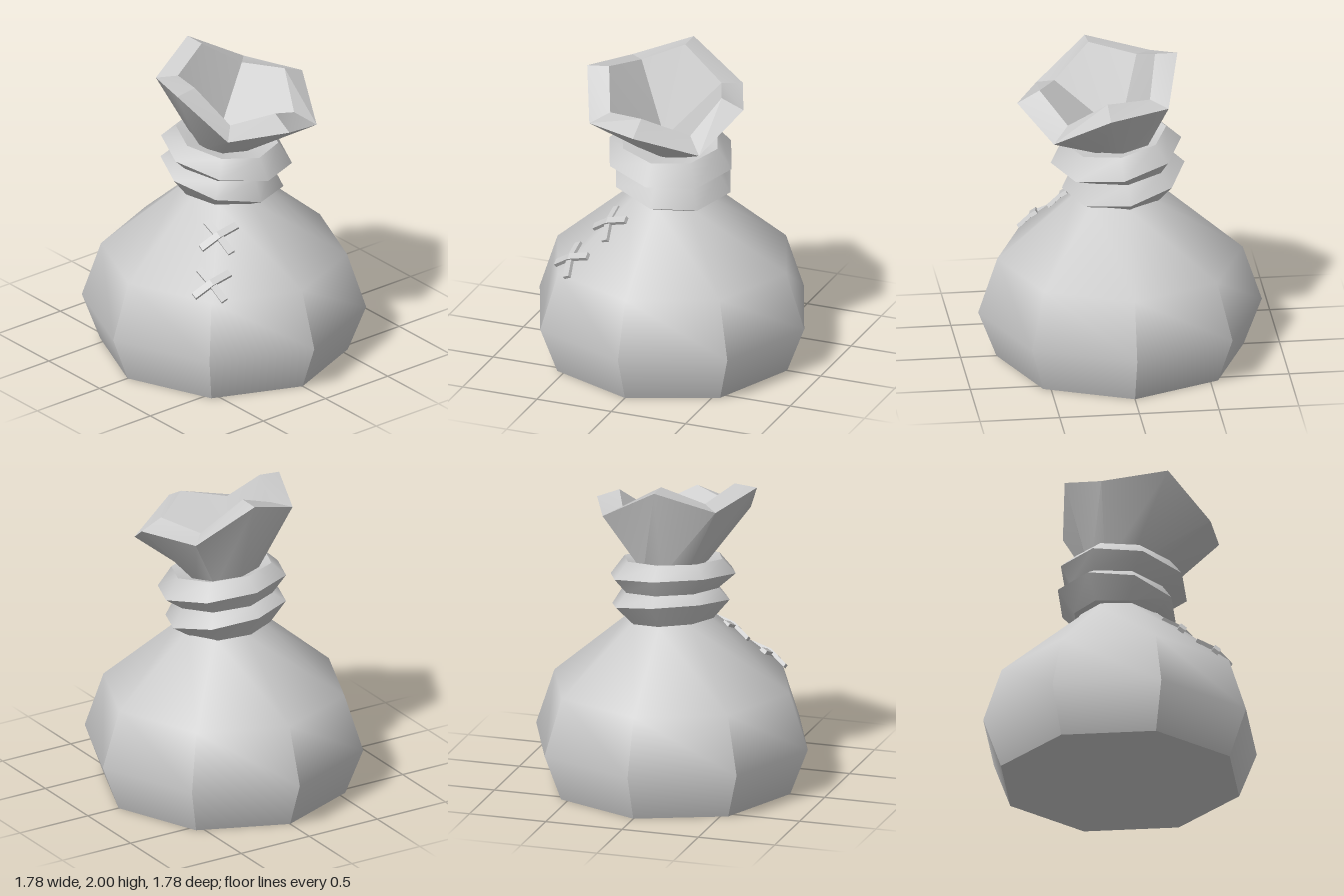
import * as THREE from 'three';
import { toCreasedNormals } from 'three/addons/utils/BufferGeometryUtils.js';

const SIDES = 8;
const STEP = (Math.PI * 2) / SIDES;
const material = new THREE.MeshStandardMaterial({ color: 0xcccccc });

function addMesh(parent, name, geometry) {
  const mesh = new THREE.Mesh(geometry, material);
  mesh.name = name;
  parent.add(mesh);
  return mesh;
}

// Eight points around a tilted circle; sx and sz are the slopes of its plane.
function ring(cx, cy, cz, r, sx = 0, sz = 0) {
  return Array.from({ length: SIDES }, (_, i) => {
    const dx = r * Math.sin(i * STEP), dz = r * Math.cos(i * STEP);
    return [cx + dx, cy + sx * dx + sz * dz, cz + dz];
  });
}

// Skin a stack of rings, keeping edges sharper than the crease angle.
function loft(rings, crease) {
  const pos = [];
  for (let k = 0; k < rings.length - 1; k++) {
    const a = rings[k], b = rings[k + 1];
    for (let i = 0; i < SIDES; i++) {
      const j = (i + 1) % SIDES;
      pos.push(...a[i], ...a[j], ...b[j]);
      if (b[i] !== b[j]) pos.push(...a[i], ...b[j], ...b[i]);
    }
  }
  const geometry = new THREE.BufferGeometry();
  geometry.setAttribute('position', new THREE.Float32BufferAttribute(pos, 3));
  return toCreasedNormals(geometry, crease);
}

// Sack body: smooth shoulders that run into facets near the base.
function sackGeometry() {
  const profile = [[0.775, 0], [0.89, 0.3], [0.77, 0.66], [0.27, 1.09], [0.2, 1.2]]
    .map(([r, y]) => new THREE.Vector2(r, y));
  const geometry = new THREE.LatheGeometry(profile, SIDES).toNonIndexed();
  const p = geometry.attributes.position, n = geometry.attributes.normal;
  const v = new THREE.Vector3();
  for (let t = 0; t < p.count; t += 3) {
    const x = p.getX(t) + p.getX(t + 1) + p.getX(t + 2);
    const z = p.getZ(t) + p.getZ(t + 1) + p.getZ(t + 2);
    const angle = (Math.floor(Math.atan2(x, z) / STEP) + 0.5) * STEP;
    for (let i = t; i < t + 3; i++) {
      const y = p.getY(i);
      if (y > 0.31) continue;
      v.set(Math.sin(angle), y < 0.01 ? -0.39 : 0, Math.cos(angle)).normalize();
      n.setXYZ(i, v.x, v.y, v.z);
    }
  }
  return geometry;
}

// Stitch strip, bent in the middle to lie over the sack.
function stripGeometry() {
  const geometry = new THREE.BoxGeometry(0.27, 0.045, 0.025, 2, 1, 1);
  const p = geometry.attributes.position;
  for (let i = 0; i < p.count; i++) {
    if (Math.abs(p.getX(i)) > 0.1) p.setZ(i, p.getZ(i) - 0.025);
  }
  return toCreasedNormals(geometry, 0.1);
}

export function createModel() {
  const model = new THREE.Group();
  model.name = 'tiedSack';

  addMesh(model, 'sackBody', sackGeometry());
  const base = addMesh(model, 'sackBase', new THREE.CircleGeometry(0.775, SIDES));
  base.rotation.x = Math.PI / 2;

  // Two tilted bands of cord around the neck
  addMesh(model, 'neckCord', loft([
    ring(0, 1.09, -0.03, 0.2, -0.1, -0.09),
    ring(-0.01, 1.085, -0.03, 0.27, -0.1, -0.09),
    ring(0, 1.19, -0.02, 0.385, -0.13, -0.18),
    ring(0.005, 1.28, -0.01, 0.31, -0.08, -0.11),
    ring(0, 1.36, 0.025, 0.41, -0.1, -0.16),
    ring(0, 1.465, 0.03, 0.32, -0.06, -0.13),
    ring(0, 1.43, 0.01, 0.16, -0.06, -0.1),
  ], 0.78));

  // Flared, uneven mouth of the sack, listed from the front towards +x
  const outerRim = [
    [0, 1.71, 0.645], [0.37, 1.58, 0.46], [0.53, 1.78, 0.12], [0.37, 1.785, -0.26],
    [0, 2, -0.36], [-0.36, 1.87, -0.23], [-0.505, 1.93, 0.16], [-0.36, 1.69, 0.48],
  ];
  const innerRim = [
    [0, 1.79, 0.505], [0.27, 1.66, 0.36], [0.385, 1.84, 0.125], [0.27, 1.81, -0.155],
    [0, 2, -0.22], [-0.26, 1.89, -0.135], [-0.36, 1.945, 0.155], [-0.26, 1.74, 0.38],
  ];
  addMesh(model, 'mouthFlare', loft([ring(0.01, 1.4, 0, 0.19), outerRim], 0.9));
  addMesh(model, 'mouthRim', loft([outerRim, innerRim], 0.3));
  const apex = Array(SIDES).fill([-0.05, 1.45, 0]);
  addMesh(model, 'mouthCavity', loft([innerRim, apex], 0.45));

  // Two crossed stitches on the right front shoulder
  const across = new THREE.Vector3(1, 0, 1).normalize();
  const up = new THREE.Vector3(0.53, 0.66, -0.53).normalize();
  const out = new THREE.Vector3().crossVectors(across, up);
  const strip = stripGeometry();
  [[-0.485, 0.745, 0.475], [-0.295, 0.955, 0.31]].forEach((at, i) => {
    const stitch = new THREE.Group();
    stitch.name = i ? 'upperStitch' : 'lowerStitch';
    stitch.quaternion.setFromRotationMatrix(new THREE.Matrix4().makeBasis(across, up, out));
    stitch.position.set(...at).addScaledVector(out, 0.015);
    addMesh(stitch, 'stitchOver', strip).rotation.z = 0.67;
    const under = addMesh(stitch, 'stitchUnder', strip);
    under.rotation.z = -0.87;
    under.position.z = -0.008;
    model.add(stitch);
  });

  return model;
}
